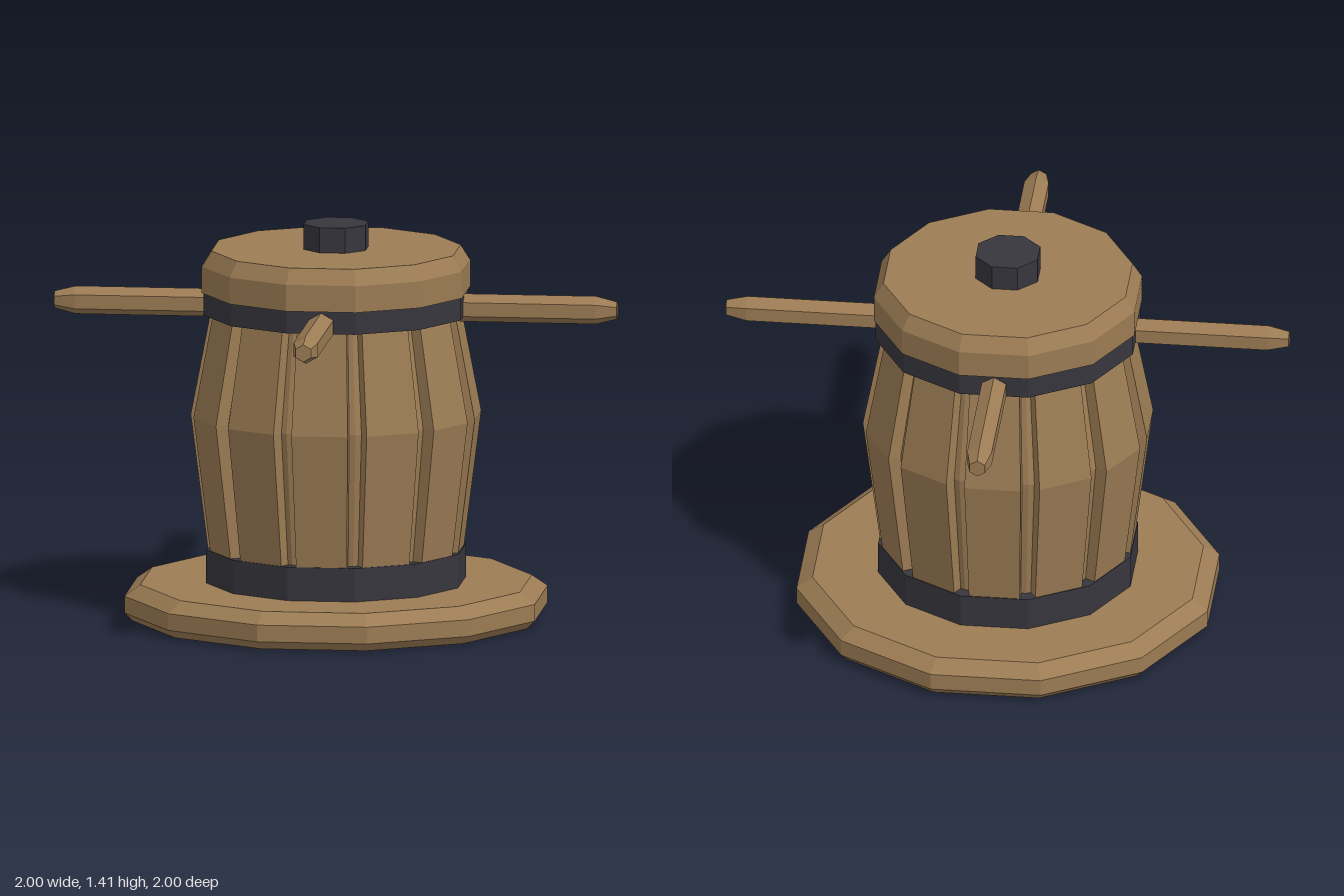
import * as THREE from 'three';

const wood = new THREE.MeshStandardMaterial({ color: 0x9c7c54, flatShading: true });
wood.name = 'wood';
const iron = new THREE.MeshStandardMaterial({ color: 0x37363e, flatShading: true });
iron.name = 'dark iron';

// Faceted solid from [flat-to-centre radius, y] rings, with flats facing the axes
function turned(name, rings, sides, material) {
  const k = 1 / Math.cos(Math.PI / sides);
  const pts = [[0, rings[0][1]], ...rings, [0, rings[rings.length - 1][1]]]
    .map(([r, y]) => new THREE.Vector2(r * k, y));
  const mesh = new THREE.Mesh(new THREE.LatheGeometry(pts, sides, Math.PI / sides), material);
  mesh.name = name;
  return mesh;
}

// Bowed plank: a box whose three levels follow the barrel's bulge
function staveGeometry() {
  const levels = [
    { y: 0.24, r: 0.444, w: 0.09 },
    { y: 0.73, r: 0.505, w: 0.1 },
    { y: 1.1, r: 0.435, w: 0.088 },
  ];
  const geo = new THREE.BoxGeometry(2, 2, 2, 1, 2, 1);
  const p = geo.attributes.position;
  for (let i = 0; i < p.count; i++) {
    const l = levels[Math.round(p.getY(i)) + 1];
    p.setXYZ(i, p.getX(i) * l.w, l.y, p.getZ(i) > 0 ? l.r : l.r - 0.07);
  }
  geo.computeVertexNormals();
  return geo;
}

// Six-sided bar along x with a tapered outer end
function barGeometry() {
  const pts = [[0, 0.3], [0.05, 0.3], [0.05, 0.925], [0.031, 1], [0, 1]]
    .map(([r, y]) => new THREE.Vector2(r, y));
  return new THREE.LatheGeometry(pts, 6, Math.PI / 2).rotateZ(-Math.PI / 2);
}

export function createModel() {
  const model = new THREE.Group();
  model.name = 'capstan';

  model.add(
    turned('base', [[0.7, 0], [0.73, 0.03], [0.73, 0.09], [0.675, 0.13]], 12, wood),
    turned('lowerBand', [[0.448, 0.12], [0.448, 0.25]], 12, iron),
    turned('barrelCore', [[0.4, 0.2], [0.458, 0.73], [0.39, 1.12]], 12, wood),
    turned('upperBand', [[0.457, 1.09], [0.457, 1.17]], 12, iron),
    turned('cap', [[0.463, 1.17], [0.463, 1.265], [0.43, 1.32]], 12, wood),
    turned('topBolt', [[0.11, 1.3], [0.11, 1.41]], 8, iron),
  );

  // Twelve staves around the barrel
  const staves = new THREE.Group();
  staves.name = 'staves';
  const staveGeo = staveGeometry();
  for (let i = 0; i < 12; i++) {
    const stave = new THREE.Mesh(staveGeo, wood);
    stave.name = 'stave';
    stave.rotation.y = (i * Math.PI) / 6;
    staves.add(stave);
  }
  model.add(staves);

  // Four push bars
  const bars = new THREE.Group();
  bars.name = 'pushBars';
  const barGeo = barGeometry();
  for (let i = 0; i < 4; i++) {
    const bar = new THREE.Mesh(barGeo, wood);
    bar.name = 'pushBar';
    bar.position.y = 1.115;
    bar.rotation.y = (i * Math.PI) / 2;
    bars.add(bar);
  }
  model.add(bars);

  return model;
}
